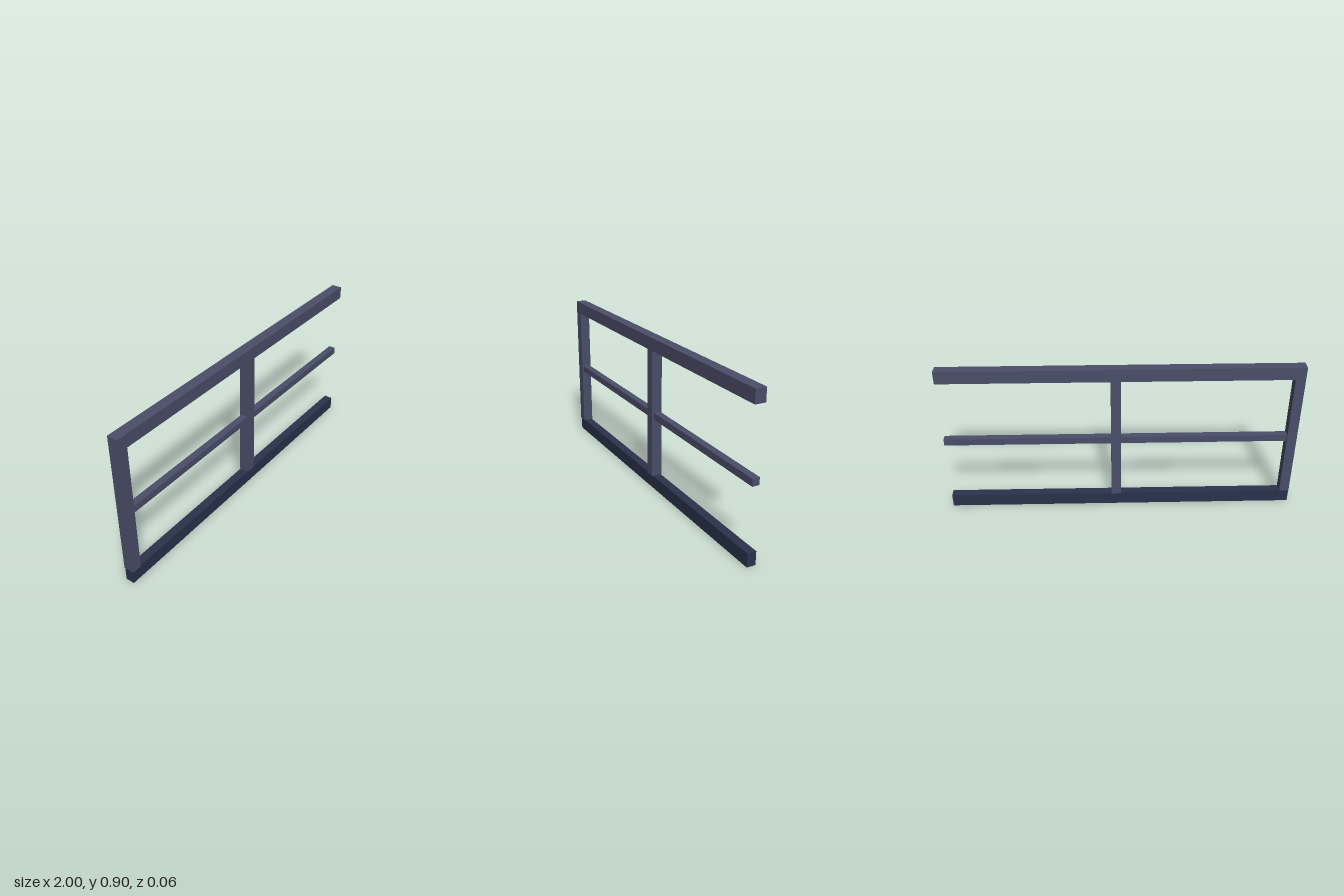
import * as THREE from 'three';

export function createModel() {
  const model = new THREE.Group();
  model.name = 'railing';

  const frame = new THREE.MeshStandardMaterial({ color: 0x4a4e69 });
  frame.name = 'slate frame';
  const base = new THREE.MeshStandardMaterial({ color: 0x2a324b });
  base.name = 'dark navy base';

  // Bar spanning x0..x1 and y0..y1, centred on z = 0
  const bar = (name, x0, x1, y0, y1, depth, material) => {
    const mesh = new THREE.Mesh(new THREE.BoxGeometry(x1 - x0, y1 - y0, depth), material);
    mesh.position.set((x0 + x1) / 2, (y0 + y1) / 2, 0);
    mesh.name = name;
    model.add(mesh);
  };

  const postWidth = 0.056, baseTop = 0.076, railBottom = 0.827;

  // Full-length rails
  bar('bottomRail', -1, 1, 0, baseTop, 0.05, base);
  bar('topRail', -1, 1, railBottom, 0.9, 0.06, frame);

  // Each bay has a post at its start and a thin middle rail; the last end stays open
  [['end', -1], ['middle', 0]].forEach(([label, x]) => {
    bar(`${label}Post`, x, x + postWidth, baseTop, railBottom, 0.06, frame);
    bar(`${label}MidRail`, x + postWidth, x + 1, 0.427, 0.467, 0.04, frame);
  });

  return model;
}
